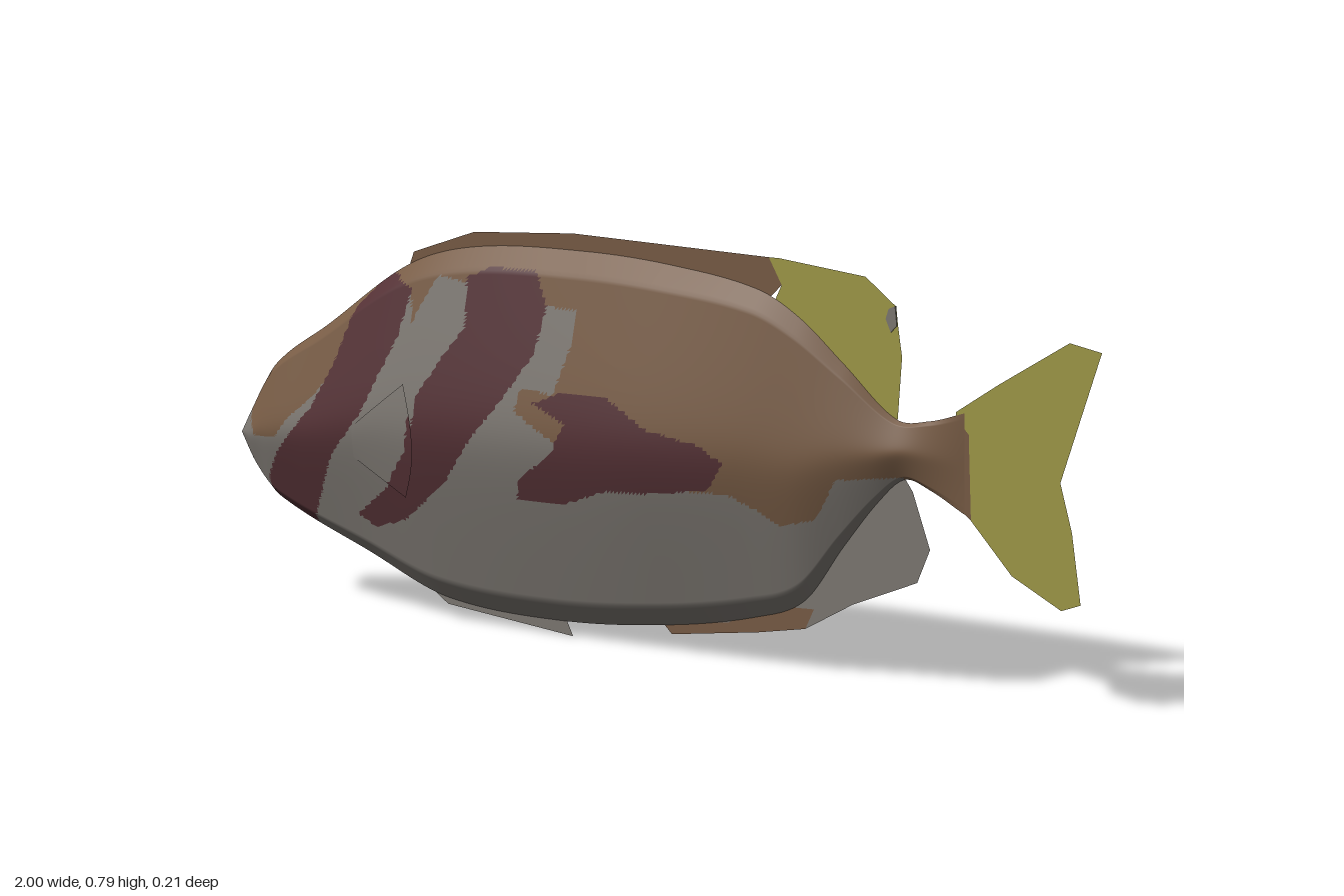
import * as THREE from 'three';

const mat = (name, color, side = THREE.FrontSide) => {
  const m = new THREE.MeshStandardMaterial({ color, side });
  m.name = name;
  return m;
};

// Smooth interpolation through [x, value] points
function curve(pts) {
  const n = pts.length;
  const slope = (i) => {
    const a = pts[Math.max(i - 1, 0)], b = pts[Math.min(i + 1, n - 1)];
    return (b[1] - a[1]) / (b[0] - a[0]);
  };
  return (x) => {
    let i = 0;
    while (i < n - 2 && x > pts[i + 1][0]) i++;
    const [x0, y0] = pts[i], [x1, y1] = pts[i + 1], d = x1 - x0;
    const t = Math.min(Math.max((x - x0) / d, 0), 1), t2 = t * t, t3 = t2 * t;
    return (2 * t3 - 3 * t2 + 1) * y0 + (t3 - 2 * t2 + t) * d * slope(i)
      + (3 * t2 - 2 * t3) * y1 + (t3 - t2) * d * slope(i + 1);
  };
}

// Body outline and half thickness along x
const topY = curve([[-1, 0.30], [-0.97, 0.355], [-0.92, 0.44], [-0.8, 0.53], [-0.61, 0.67], [-0.45, 0.723],
  [-0.2, 0.744], [0, 0.742], [0.2, 0.72], [0.3, 0.675], [0.4, 0.6], [0.52, 0.51], [0.6, 0.515], [0.68, 0.54]]);
const bottomY = curve([[-1, 0.30], [-0.96, 0.24], [-0.91, 0.188], [-0.7, 0.105], [-0.52, 0.04], [-0.25, 0.027],
  [0, 0.05], [0.2, 0.09], [0.31, 0.135], [0.4, 0.25], [0.48, 0.345], [0.54, 0.395], [0.6, 0.382], [0.68, 0.345]]);
const halfZ = curve([[-1, 0], [-0.95, 0.034], [-0.83, 0.058], [-0.7, 0.075], [-0.5, 0.092], [-0.2, 0.102],
  [0, 0.1], [0.3, 0.067], [0.5, 0.033], [0.68, 0]]);

// Lens cross-section: t runs from -1 (belly ridge) to 1 (back ridge)
function section(t) {
  const u = Math.abs(t) / 0.88;
  if (u > 1) return 0.35 * (1 - Math.abs(t)) / 0.12;
  return 1 - 0.65 * (Math.sqrt(u * u + 0.04) - 0.2) / 0.82;
}
function surfaceZ(x, y) {
  const a = bottomY(x), b = topY(x);
  return halfZ(x) * section((2 * y - a - b) / (b - a));
}

// Marking outlines in the side plane
const stripes = [
  [[-0.92, 0.17], [-0.82, 0.15], [-0.75, 0.29], [-0.67, 0.39], [-0.60, 0.54], [-0.58, 0.63], [-0.65, 0.655],
    [-0.72, 0.58], [-0.755, 0.47], [-0.80, 0.38], [-0.89, 0.28], [-0.92, 0.23]],
  [[-0.45, 0.67], [-0.40, 0.695], [-0.29, 0.70], [-0.255, 0.64], [-0.27, 0.55], [-0.33, 0.46], [-0.40, 0.375],
    [-0.47, 0.28], [-0.58, 0.19], [-0.66, 0.165], [-0.70, 0.185], [-0.61, 0.255], [-0.55, 0.335], [-0.535, 0.44],
    [-0.49, 0.51], [-0.44, 0.58]],
  [[-0.20, 0.485], [-0.09, 0.49], [0.01, 0.44], [0.12, 0.425], [0.175, 0.395], [0.14, 0.34], [0.03, 0.32],
    [-0.09, 0.31], [-0.20, 0.27], [-0.30, 0.27], [-0.29, 0.31], [-0.21, 0.37], [-0.18, 0.43], [-0.26, 0.46]],
];
const paleArea = [[-1.1, 0.42], [-0.97, 0.345], [-0.945, 0.305], [-0.89, 0.31], [-0.86, 0.35], [-0.80, 0.40],
  [-0.70, 0.52], [-0.66, 0.65], [-0.58, 0.63], [-0.57, 0.57], [-0.52, 0.665], [-0.44, 0.66], [-0.40, 0.69],
  [-0.26, 0.64], [-0.185, 0.64], [-0.185, 0.58], [-0.215, 0.48], [-0.29, 0.485], [-0.30, 0.44], [-0.20, 0.39],
  [0.06, 0.33], [0.18, 0.335], [0.24, 0.31], [0.29, 0.285], [0.36, 0.30], [0.41, 0.385], [0.54, 0.40],
  [0.54, -0.2], [-1.1, -0.2]];

function inside(poly, x, y) {
  let hit = false;
  poly.forEach(([x1, y1], i) => {
    const [x0, y0] = poly[(i + poly.length - 1) % poly.length];
    if ((y1 > y) !== (y0 > y) && x < (x0 - x1) * (y - y1) / (y0 - y1) + x1) hit = !hit;
  });
  return hit;
}
// 0 brown, 1 pale, 2 maroon
const marking = (x, y) => stripes.some((s) => inside(s, x, y)) ? 2 : inside(paleArea, x, y) ? 1 : 0;

// Grid surface with its triangles grouped by marking colour
function paintedSheet(name, cols, rows, point, side, materials) {
  const pos = [], faces = [[], [], []];
  for (let i = 0; i <= cols; i++) {
    for (let j = 0; j <= rows; j++) {
      const [x, y, z] = point(i / cols, j / rows);
      pos.push(x, y, z * side);
    }
  }
  const add = (a, b, c) => {
    const mean = (k) => (pos[a * 3 + k] + pos[b * 3 + k] + pos[c * 3 + k]) / 3;
    faces[marking(mean(0), mean(1))].push(...(side > 0 ? [a, b, c] : [a, c, b]));
  };
  for (let i = 0; i < cols; i++) {
    for (let j = 0; j < rows; j++) {
      const a = i * (rows + 1) + j, b = a + rows + 1;
      add(a, b, b + 1);
      add(a, b + 1, a + 1);
    }
  }
  const g = new THREE.BufferGeometry();
  g.setAttribute('position', new THREE.Float32BufferAttribute(pos, 3));
  g.setIndex(faces.flat());
  let start = 0;
  faces.forEach((f, k) => { g.addGroup(start, f.length, k); start += f.length; });
  g.computeVertexNormals();
  const mesh = new THREE.Mesh(g, materials);
  mesh.name = name;
  return mesh;
}

const flatShape = (pts) => new THREE.Shape(pts.map(([x, y]) => new THREE.Vector2(x, y)));

export function createModel() {
  const fish = new THREE.Group();
  fish.name = 'fish';
  const DS = THREE.DoubleSide;
  const brown = mat('brown', 0x785c45, DS), pale = mat('pale grey', 0x7d7872, DS);
  const maroon = mat('maroon', 0x543135, DS), olive = mat('olive yellow', 0xa09a48, DS);
  const skin = [brown, pale, maroon];

  // Body halves and side fins
  for (const [side, label] of [[1, 'Left'], [-1, 'Right']]) {
    fish.add(paintedSheet('body' + label, 200, 100, (u, v) => {
      const x = -1 + 1.68 * u, a = bottomY(x), b = topY(x);
      return [x, a + (b - a) * v, halfZ(x) * section(2 * v - 1)];
    }, side, skin));
    fish.add(paintedSheet('pectoralFin' + label, 16, 24, (u, v) => {
      const x = -0.69 + u * (0.13 + 0.03 * Math.sin(v * Math.PI));
      const y = 0.33 + (v - 0.5) * (0.06 + 0.16 * u) + 0.02 * u;
      return [x, y, surfaceZ(x, y) + 0.001 + 0.014 * u];
    }, side, skin));
  }

  // Flat fins on the centre plane
  const fin = (name, material, pts) => {
    const mesh = new THREE.Mesh(new THREE.ShapeGeometry(flatShape(pts)), material);
    mesh.name = name;
    fish.add(mesh);
  };
  fin('tailRoot', brown, [[0.64, 0.39], [0.66, 0.36], [0.695, 0.335], [0.69, 0.50], [0.66, 0.53], [0.64, 0.52]]);
  fin('tailFin', olive, [[0.695, 0.335], [0.79, 0.24], [0.905, 0.187], [0.95, 0.203], [0.93, 0.34], [0.903, 0.433],
    [1, 0.695], [0.925, 0.705], [0.76, 0.605], [0.66, 0.54], [0.66, 0.525], [0.69, 0.50]]);
  fin('dorsalFinFront', brown, [[-0.62, 0.64], [0.2, 0.68], [0.235, 0.715], [0.255, 0.735], [0.225, 0.785],
    [-0.23, 0.775], [-0.46, 0.75], [-0.6, 0.695]]);
  fin('dorsalFinRear', olive, [[0.235, 0.695], [0.38, 0.6], [0.5, 0.5], [0.525, 0.51], [0.535, 0.63], [0.52, 0.727],
    [0.45, 0.775], [0.25, 0.786], [0.225, 0.785], [0.255, 0.735]]);
  fin('analFin', pale, [[-0.03, 0.06], [0.02, 0.057], [0.13, 0.07], [0.22, 0.115], [0.33, 0.12], [0.31, 0.08],
    [0.42, 0.14], [0.57, 0.2], [0.6, 0.267], [0.56, 0.374], [0.54, 0.4], [0.5, 0.38], [0.3, 0.17], [0.1, 0.09]]);
  fin('analFinPatch', brown, [[-0.03, 0.06], [0, 0.032], [0.2, 0.06], [0.31, 0.08], [0.33, 0.12], [0.22, 0.115],
    [0.13, 0.07], [0.02, 0.057]]);
  fin('pelvicFin', pale, [[-0.6, 0.08], [-0.52, 0.027], [-0.23, 0], [-0.25, 0.04], [-0.4, 0.06]]);

  // Small spot near the rear edge of the dorsal fin
  const spot = new THREE.Mesh(new THREE.ExtrudeGeometry(
    flatShape([[0.498, 0.70], [0.51, 0.675], [0.524, 0.69], [0.52, 0.727], [0.505, 0.72]]),
    { depth: 0.004, bevelEnabled: false }), pale);
  spot.position.z = -0.002;
  spot.name = 'dorsalSpot';
  fish.add(spot);
  return fish;
}
